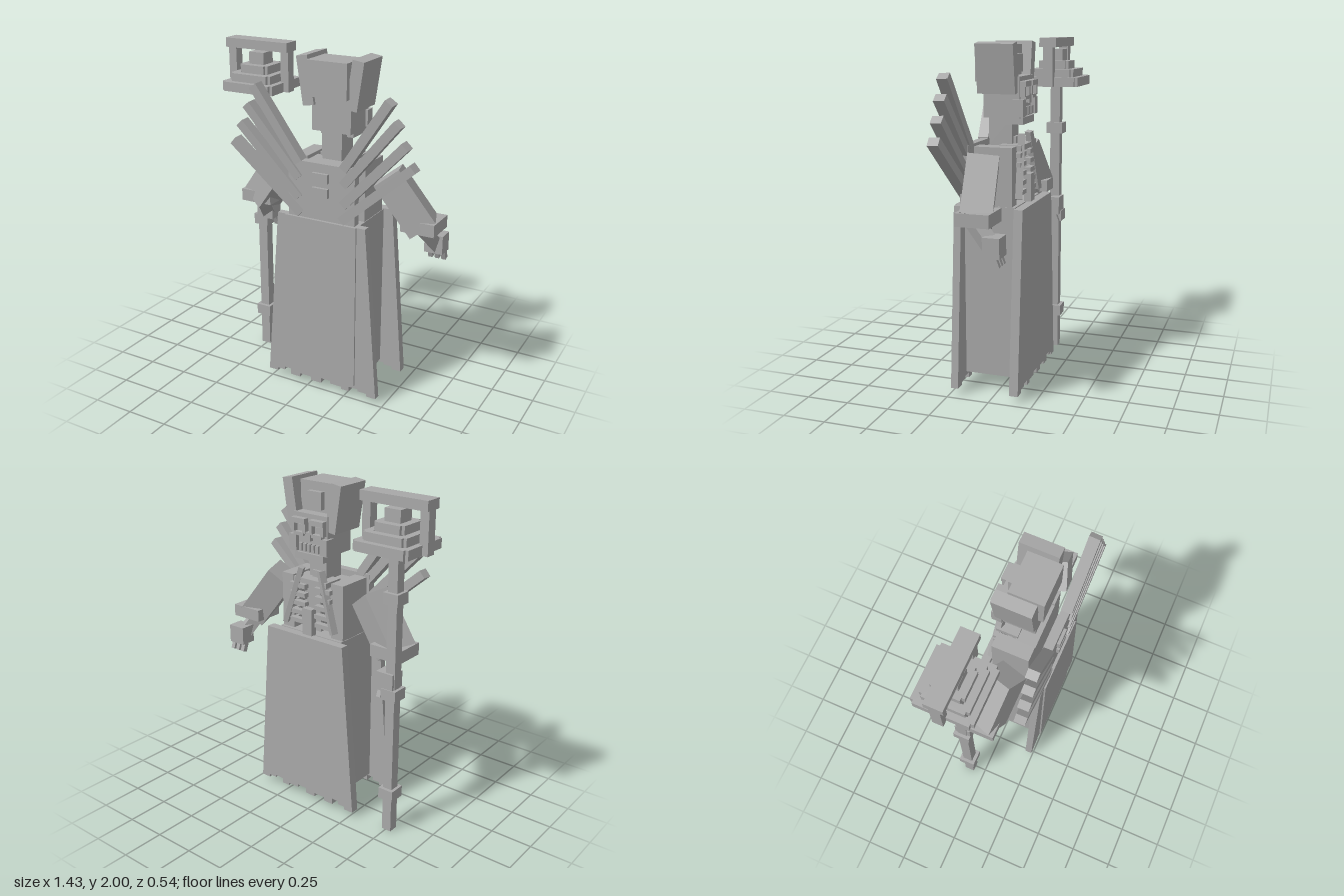
import * as THREE from 'three';

export function createModel() {
  const root = new THREE.Group();
  root.name = 'robedSkeleton';
  const stone = new THREE.MeshStandardMaterial({ color: 0xa8a8a8 });
  stone.name = 'stoneGrey';

  // The figure is symmetric about its own axis, beside the staff
  const figure = new THREE.Group();
  figure.name = 'figure';
  figure.position.x = 0.09;
  root.add(figure);

  const add = (parent, name, geo) => {
    const m = new THREE.Mesh(geo, stone);
    m.name = name;
    parent.add(m);
    return m;
  };
  // Box from its low and high limits on each axis
  const box = (parent, name, x0, x1, y0, y1, z0, z1) => {
    const m = add(parent, name, new THREE.BoxGeometry(x1 - x0, y1 - y0, z1 - z0));
    m.position.set((x0 + x1) / 2, (y0 + y1) / 2, (z0 + z1) / 2);
    return m;
  };
  // Mirrored pair of boxes
  const pair = (name, x0, x1, ...rest) => {
    box(figure, name + 'Left', x0, x1, ...rest);
    box(figure, name + 'Right', -x1, -x0, ...rest);
  };
  // Square bar between two points
  const bar = (parent, name, a, b, w, d) => {
    const p = new THREE.Vector3(...a), q = new THREE.Vector3(...b);
    const m = add(parent, name, new THREE.BoxGeometry(w, p.distanceTo(q), d));
    m.position.copy(p).add(q).multiplyScalar(0.5);
    m.quaternion.setFromUnitVectors(new THREE.Vector3(0, 1, 0), q.sub(p).normalize());
    return m;
  };

  // Robe core
  box(figure, 'robeCore', -0.228, 0.228, 0.09, 1.09, -0.1, 0.253);

  // Flared robe panels with a ragged hem
  const panel = (name, z0, z1) => {
    const s = new THREE.Shape();
    s.moveTo(-0.28, 1.09);
    s.lineTo(-0.365, 0.037);
    const steps = [-0.305, -0.255, -0.21, -0.145, -0.07, 0.0, 0.065, 0.14, 0.19, 0.25, 0.305];
    const low = [0.037, 0.055, 0.075, 0.037, 0.06, 0.037, 0.07, 0.052, 0.037, 0.068, 0.055, 0.037];
    steps.forEach((x, i) => {
      s.lineTo(x, low[i]);
      s.lineTo(x, low[i + 1]);
    });
    s.lineTo(0.365, 0.037);
    s.lineTo(0.28, 1.09);
    const g = new THREE.ExtrudeGeometry(s, { depth: z1 - z0, bevelEnabled: false });
    add(figure, name, g).position.z = z0;
  };
  panel('rearRobePanel', 0.2, 0.243);
  panel('faceRobePanel', -0.16, -0.108);

  // Torso: back plate, chest, shoulders
  box(figure, 'backPlate', -0.21, 0.21, 1.08, 1.42, 0.185, 0.235);
  box(figure, 'chestCore', -0.14, 0.14, 1.08, 1.4, 0.02, 0.14);
  pair('shoulderRobe', 0.14, 0.225, 1.08, 1.42, -0.08, 0.14);
  for (const y of [1.23, 1.315]) box(figure, 'backVertebra', -0.05, 0.05, y, y + 0.053, 0.22, 0.253);

  // Rib cage, spine, breastbone
  box(figure, 'spine', -0.03, 0.03, 1.08, 1.46, -0.04, 0.03);
  box(figure, 'breastbone', -0.035, 0.035, 1.08, 1.25, -0.13, -0.09);
  for (let i = 0; i < 5; i++) {
    const y = 1.14 + i * 0.054;
    pair('rib', 0.035, 0.15, y, y + 0.026, -0.105, -0.07);
    pair('ribSide', 0.12, 0.15, y, y + 0.026, -0.07, 0.03);
  }
  box(figure, 'collar', -0.12, 0.12, 1.39, 1.42, -0.1, 0.03);

  // Head and neck
  box(figure, 'neck', -0.062, 0.062, 1.41, 1.57, -0.025, 0.11);
  box(figure, 'chin', -0.103, 0.103, 1.535, 1.575, -0.105, 0.05);
  box(figure, 'skull', -0.122, 0.122, 1.57, 1.8, -0.09, 0.12);
  box(figure, 'headdress', -0.122, 0.122, 1.77, 1.97, -0.025, 0.17);
  box(figure, 'headdressGem', -0.05, 0.05, 1.82, 1.92, -0.055, -0.02);
  pair('cheek', 0.085, 0.137, 1.58, 1.675, -0.115, -0.055);
  pair('brow', 0.015, 0.115, 1.745, 1.775, -0.125, -0.085);
  pair('eyeInnerRim', 0.015, 0.035, 1.69, 1.745, -0.12, -0.085);
  pair('eyeOuterRim', 0.095, 0.115, 1.69, 1.745, -0.12, -0.085);
  pair('eyeLowerRim', 0.03, 0.1, 1.675, 1.695, -0.12, -0.085);
  pair('eye', 0.05, 0.08, 1.71, 1.735, -0.1, -0.085);
  box(figure, 'nose', -0.018, 0.018, 1.65, 1.7, -0.115, -0.085);
  for (let i = -2; i <= 2; i++) {
    box(figure, 'tooth', i * 0.03 - 0.01, i * 0.03 + 0.01, 1.585, 1.63, -0.11, -0.085);
  }

  for (const s of [-1, 1]) {
    const side = s > 0 ? 'Left' : 'Right';

    // Tilted headdress flap
    const flap = add(figure, 'headdressFlap' + side, new THREE.BoxGeometry(0.07, 0.275, 0.22));
    flap.position.set(s * 0.153, 1.847, 0.03);
    flap.rotation.z = -s * 0.15;

    // Collar strap
    bar(figure, 'collarStrap' + side, [s * 0.07, 1.48, -0.085], [s * 0.18, 1.13, -0.105], 0.03, 0.04);

    // Fan of back spikes
    const tips = [[0.415, 1.815], [0.463, 1.705], [0.51, 1.595], [0.558, 1.485]];
    const roots = [[0.14, 1.41], [0.14, 1.32], [0.14, 1.205], [0.13, 1.11]];
    tips.forEach((t, i) => bar(figure, 'backSpike' + side,
      [s * roots[i][0], roots[i][1], 0.215], [s * t[0], t[1], 0.237], 0.052, 0.064));

    // Arm: sleeve, cuff, forearm, hand
    bar(figure, 'sleeve' + side, [s * 0.322, 1.355, 0.05], [s * 0.532, 1.075, 0.015], 0.168, 0.172);
    box(figure, 'cuff' + side, s * 0.525 - 0.1, s * 0.525 + 0.1, 1.058, 1.13, -0.09, 0.1);
    bar(figure, 'forearm' + side, [s * 0.52, 1.08, 0.04], [s * 0.565, 0.94, -0.09], 0.075, 0.075);
    box(figure, 'hand' + side, s * 0.565 - 0.055, s * 0.565 + 0.055, 0.9, 1.01, -0.145, -0.05);
    for (const x of [0.525, 0.565, 0.605]) {
      bar(figure, 'finger' + side, [s * x, 0.93, -0.1], [s * x, 0.85, -0.13], 0.026, 0.03);
    }
  }

  // Staff
  const staff = new THREE.Group();
  staff.name = 'staff';
  staff.position.set(-0.505, 0, -0.1);
  root.add(staff);
  box(staff, 'staffPole', -0.03, 0.03, 0, 1.88, -0.03, 0.03);
  for (const y of [0.215, 0.85, 1.41]) box(staff, 'staffRing', -0.048, 0.048, y, y + 0.067, -0.05, 0.05);
  box(staff, 'staffTopBar', -0.21, 0.21, 1.945, 2, -0.052, 0.052);
  for (const s of [-1, 1]) {
    box(staff, 'staffPost', s * 0.18 - 0.026, s * 0.18 + 0.026, 1.71, 1.945, -0.03, 0.03);
  }

  // Stepped lantern: hollow tiers with notched corners
  const tier = (r, inner, y, h) => {
    const n = r - 0.018, s = new THREE.Shape(), hole = new THREE.Path();
    const pts = [[r, -n], [r, n], [n, n], [n, r], [-n, r], [-n, n], [-r, n], [-r, -n], [-n, -n], [-n, -r], [n, -r], [n, -n]];
    s.setFromPoints(pts.map(p => new THREE.Vector2(...p)));
    hole.setFromPoints([[-1, -1], [-1, 1], [1, 1], [1, -1]].map(p => new THREE.Vector2(p[0] * inner, p[1] * inner)));
    s.holes.push(hole);
    const g = new THREE.ExtrudeGeometry(s, { depth: h, bevelEnabled: false }).rotateX(-Math.PI / 2);
    add(staff, 'lanternTier', g).position.y = y;
  };
  tier(0.172, 0.128, 1.71, 0.055);
  tier(0.136, 0.09, 1.762, 0.05);
  tier(0.094, 0.045, 1.81, 0.05);
  box(staff, 'lanternCore', -0.05, 0.05, 1.855, 1.93, -0.05, 0.05);

  return root;
}
